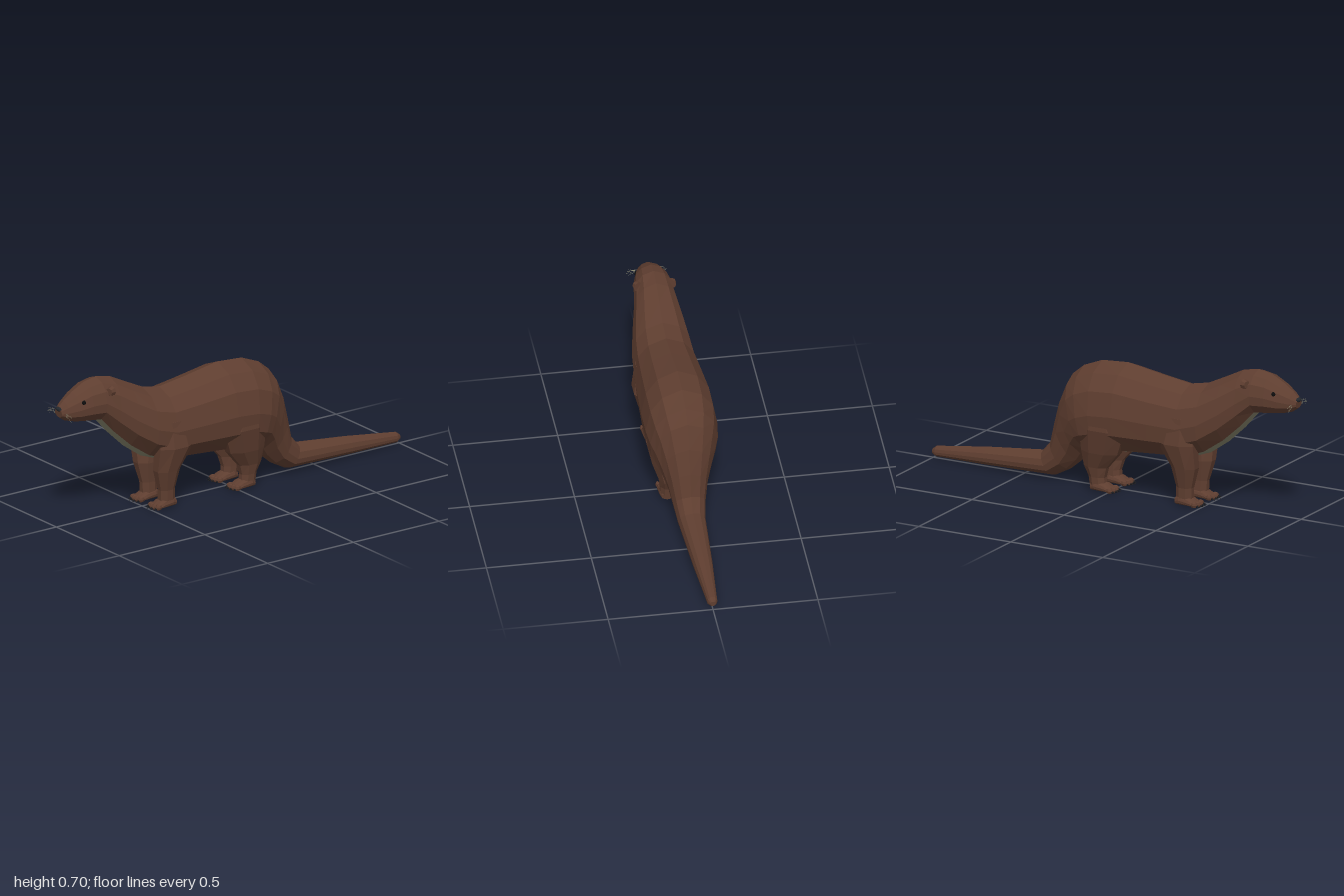
import * as THREE from 'three';

const mat = (name, color, flatShading = true) => {
  const m = new THREE.MeshStandardMaterial({ color, flatShading });
  m.name = name;
  return m;
};

// Skin a list of equal-length rings; pick(i, j) chooses the material index of each quad.
function loft(rings, pick = () => 0) {
  const lists = [[], []];
  const n = rings[0].length;
  const tri = (k, a, b, c) => lists[k].push(...a, ...b, ...c);
  for (let i = 0; i < rings.length - 1; i++) {
    for (let j = 0; j < n; j++) {
      const k = (j + 1) % n, m = pick(i, j);
      const [a, b, c, d] = [rings[i][j], rings[i][k], rings[i + 1][k], rings[i + 1][j]];
      tri(m, a, b, c);
      tri(m, a, c, d);
    }
  }
  // end caps
  const centre = (r) => [0, 1, 2].map((q) => r.reduce((s, p) => s + p[q], 0) / n);
  const first = rings[0], last = rings[rings.length - 1];
  const c0 = centre(first), c1 = centre(last);
  for (let j = 0; j < n; j++) {
    const k = (j + 1) % n;
    tri(0, c0, first[k], first[j]);
    tri(0, c1, last[j], last[k]);
  }
  const g = new THREE.BufferGeometry();
  g.setAttribute('position', new THREE.Float32BufferAttribute(lists.flat(), 3));
  g.addGroup(0, lists[0].length / 3, 0);
  if (lists[1].length) g.addGroup(lists[0].length / 3, lists[1].length / 3, 1);
  g.computeVertexNormals();
  return g;
}

// Right half of the body section: x as a share of half width, height from belly (0) to back (1)
const HALF = [[0, 1], [0.55, 0.91], [0.87, 0.74], [1, 0.48], [0.95, 0.27], [0.48, 0.06], [0, 0]];
const PROFILE = [...HALF, ...HALF.slice(1, -1).reverse().map(([x, v]) => [-x, v])];
const section = ([tz, ty, bz, by, w]) =>
  PROFILE.map(([x, v]) => [x * w, by + (ty - by) * v, bz + (tz - bz) * v]);

// Horizontal oval ring for legs
const oval = ([y, x, z, rx, rz]) => Array.from({ length: 8 }, (_, k) => {
  const a = ((k + 0.5) / 8) * Math.PI * 2;
  return [x + rx * 1.06 * Math.cos(a), y, z + rz * 1.06 * Math.sin(a)];
});

export function createModel() {
  const fur = mat('brown fur', 0x5f3e30);
  const pale = mat('pale chest fur', 0x828069);
  const dark = mat('claw black', 0x1c1c1e);
  const nose = mat('nose slate', 0x23272d);
  const eyeMat = mat('eye black', 0x0e0e0e);

  const model = new THREE.Group();
  model.name = 'otter';
  const add = (name, geo, material, parent = model, pos = [0, 0, 0]) => {
    const m = new THREE.Mesh(geo, material);
    m.name = name;
    m.position.set(...pos);
    parent.add(m);
    return m;
  };

  // Head, trunk and tail: back z, back y, belly z, belly y, half width
  const spine = [
    [0.99, 0.592, 0.985, 0.545, 0.028],
    [0.96, 0.622, 0.955, 0.523, 0.047],
    [0.91, 0.657, 0.9, 0.507, 0.068],
    [0.84, 0.693, 0.84, 0.498, 0.084],
    [0.77, 0.705, 0.77, 0.49, 0.094],
    [0.69, 0.69, 0.7, 0.41, 0.106],
    [0.6, 0.645, 0.61, 0.325, 0.127],
    [0.5, 0.597, 0.51, 0.255, 0.145],
    [0.4, 0.577, 0.4, 0.215, 0.153],
    [0.25, 0.598, 0.25, 0.205, 0.163],
    [0.06, 0.63, 0.06, 0.19, 0.173],
    [-0.08, 0.62, -0.05, 0.18, 0.172],
    [-0.18, 0.58, -0.1, 0.17, 0.161],
    [-0.24, 0.53, -0.13, 0.165, 0.143],
    [-0.29, 0.42, -0.16, 0.145, 0.118],
    [-0.325, 0.3, -0.19, 0.11, 0.094],
    [-0.35, 0.19, -0.25, 0.06, 0.077],
    [-0.4, 0.13, -0.33, 0.018, 0.066],
    [-0.7, 0.098, -0.7, 0.01, 0.046],
    [-0.98, 0.06, -0.98, 0.008, 0.024],
    [-1, 0.045, -1, 0.02, 0.013],
  ];
  const isBelly = (i, j) => (i >= 4 && i <= 11 && (j === 5 || j === 6) ? 1 : 0);
  add('body', loft(spine.map(section), isBelly), [fur, pale]);

  // Nose pad
  const nosePad = add('nose', new THREE.SphereGeometry(1, 8, 5), nose, model, [0, 0.586, 0.985]);
  nosePad.scale.set(0.023, 0.011, 0.014);

  // Leg rings from shoulder or hip down: y, x, z, half width, half depth
  const frontLeg = [
    [0.44, 0.105, 0.4, 0.04, 0.07],
    [0.31, 0.1, 0.385, 0.062, 0.1],
    [0.19, 0.08, 0.415, 0.05, 0.066],
    [0.09, 0.073, 0.412, 0.032, 0.042],
    [0.03, 0.071, 0.41, 0.032, 0.042],
  ];
  const hindLeg = [
    [0.46, 0.12, -0.02, 0.04, 0.07],
    [0.32, 0.108, -0.01, 0.062, 0.125],
    [0.2, 0.088, -0.035, 0.054, 0.1],
    [0.12, 0.076, -0.068, 0.037, 0.062],
    [0.07, 0.072, -0.064, 0.032, 0.043],
    [0.03, 0.071, -0.06, 0.032, 0.042],
  ];
  // Paw sections, from toes to heel
  const paw = [
    [0.065, 0.022, 0.07, 0, 0.036],
    [0.03, 0.045, 0.03, 0, 0.04],
    [-0.025, 0.056, -0.025, 0, 0.036],
    [-0.05, 0.04, -0.045, 0, 0.028],
  ];

  for (const s of [1, -1]) {
    const side = s > 0 ? 'left' : 'right';
    for (const [label, rings, z] of [['Front', frontLeg, 0.415], ['Hind', hindLeg, -0.045]]) {
      const leg = new THREE.Group();
      leg.name = side + label + 'Leg';
      model.add(leg);
      add('limb', loft(rings.map(([y, x, ...r]) => oval([y, s * x, ...r]))), fur, leg);
      add('paw', loft(paw.map(section)), fur, leg, [s * 0.07, 0, z]);
      // Toes and claws
      for (let t = 0; t < 4; t++) {
        const x = s * 0.07 + (t - 1.5) * 0.021;
        const reach = z + (t === 0 || t === 3 ? 0.06 : 0.068);
        const toe = add('toe', new THREE.SphereGeometry(1, 6, 4), fur, leg, [x, 0.015, reach]);
        toe.scale.set(0.011, 0.014, 0.02);
        const claw = add('claw', new THREE.ConeGeometry(0.008, 0.03, 5), dark, leg, [x, 0.011, reach + 0.02]);
        claw.rotation.x = Math.PI / 2 + 0.2;
      }
    }

    // Ear
    const ear = add(side + 'Ear', new THREE.CylinderGeometry(0.018, 0.024, 0.024, 8), fur, model, [s * 0.083, 0.647, 0.745]);
    ear.rotation.set(Math.PI / 2, 0, s * -0.35);

    // Eye
    const eye = add(side + 'Eye', new THREE.SphereGeometry(0.011, 8, 6), eyeMat, model, [s * 0.064, 0.615, 0.886]);
    eye.scale.x = 0.8;

    // Whiskers
    for (let k = 0; k < 5; k++) {
      const curve = new THREE.QuadraticBezierCurve3(
        new THREE.Vector3(s * 0.032, 0.555 + k * 0.003, 0.968),
        new THREE.Vector3(s * 0.065, 0.556 + k * 0.006, 0.985),
        new THREE.Vector3(s * (0.088 + (k % 2) * 0.008), 0.542 + k * 0.007, 0.975 + (k % 3) * 0.006));
      add(side + 'Whisker', new THREE.TubeGeometry(curve, 4, 0.0007, 3), pale);
    }
  }
  return model;
}
